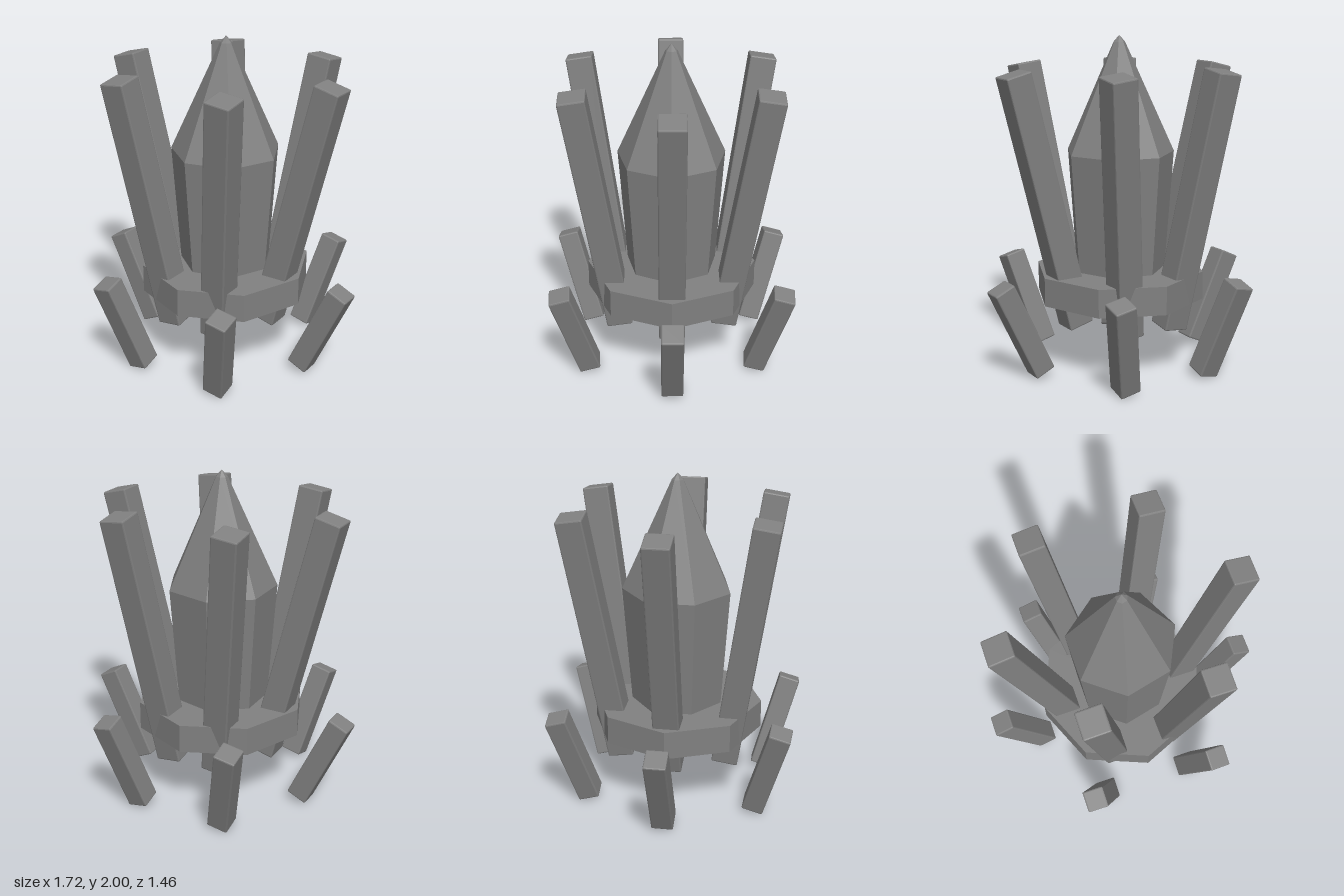
import * as THREE from 'three';
import { RoundedBoxGeometry } from 'three/addons/geometries/RoundedBoxGeometry.js';

export function createModel() {
  const model = new THREE.Group();
  model.name = 'crystalCluster';

  const stone = new THREE.MeshStandardMaterial({ color: 0x808080, flatShading: true });
  stone.name = 'grey stone';

  const add = (geometry, name) => {
    const mesh = new THREE.Mesh(geometry, stone);
    mesh.name = name;
    model.add(mesh);
    return mesh;
  };

  // Seven-sided central crystal with chamfered base and tip, one corner facing +x
  const profile = [
    [0, 0.34], [0.25, 0.34], [0.262, 0.355], [0.33, 1.31], [0.035, 1.96], [0, 2],
  ].map(([r, y]) => new THREE.Vector2(r, y));
  add(new THREE.LatheGeometry(profile, 7).rotateY(Math.PI / 2), 'centralCrystal');

  // Octagonal collar
  add(new THREE.CylinderGeometry(0.515, 0.515, 0.17, 8), 'collar').position.y = 0.515;

  // Six square bars around the axis; they lean outward but are not turned about y
  function barRing(name, { width, length, radius, y, leanX, leanZ }) {
    const geometry = new RoundedBoxGeometry(width, length, width, 1, 0.008);
    for (let i = 0; i < 6; i++) {
      const a = (i * Math.PI) / 3;
      const bar = add(geometry, name + (i + 1));
      bar.position.set(Math.cos(a) * radius, y, Math.sin(a) * radius);
      bar.rotation.set(Math.sin(a) * leanZ, 0, -Math.cos(a) * leanX);
    }
  }

  barRing('longBar', { width: 0.157, length: 1.56, radius: 0.5, y: 1.05, leanX: 0.25, leanZ: 0.172 });
  barRing('shortBar', { width: 0.13, length: 0.6, radius: 0.675, y: 0.313, leanX: 0.44, leanZ: 0.32 });

  return model;
}
